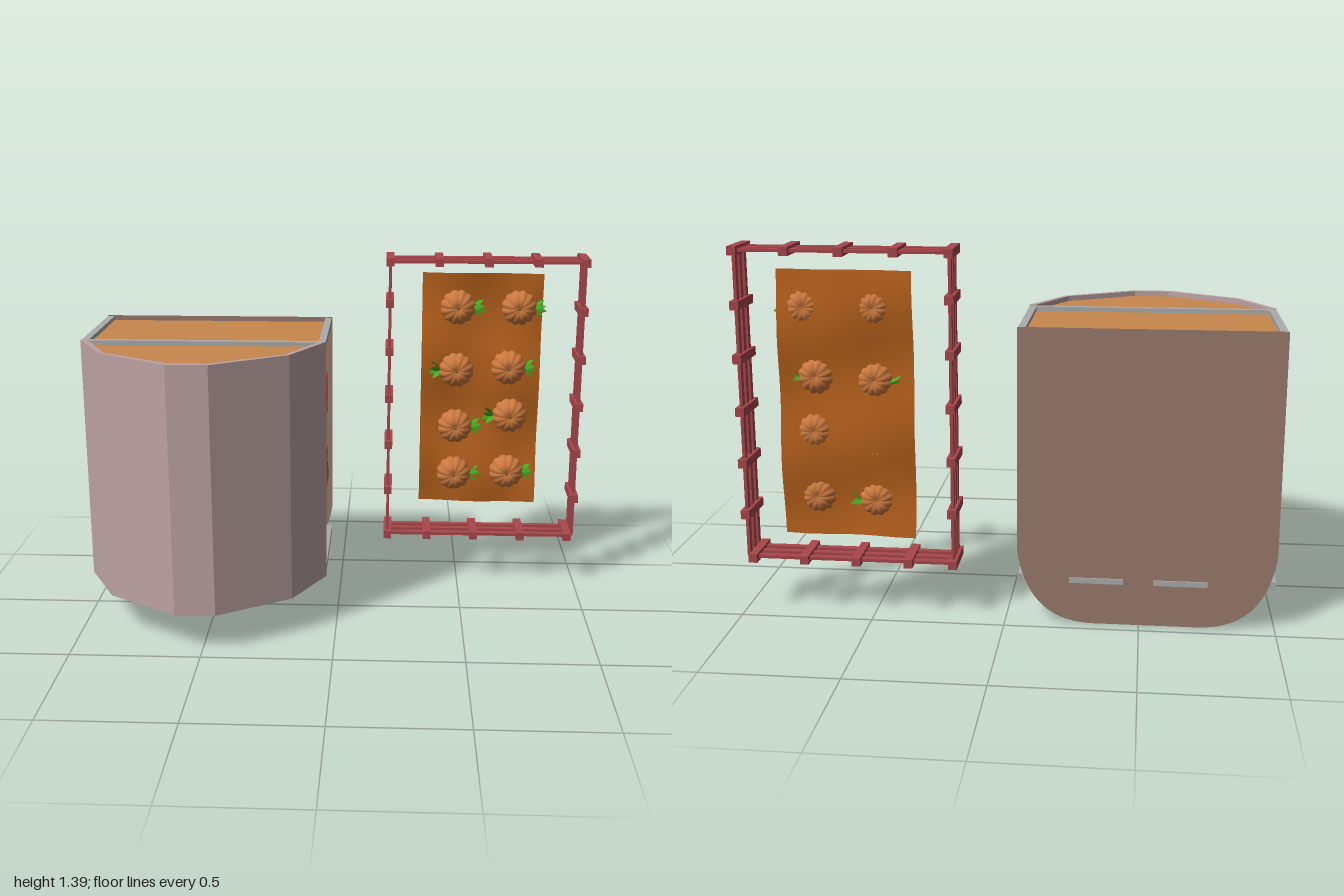
import * as THREE from 'three';

const mat = (color, extra = {}) => new THREE.MeshStandardMaterial({ color, ...extra });
const M = {
  wall: mat(0xc8884c), roof: mat(0xbda2a2), yard: mat(0x997a6c, { side: THREE.DoubleSide }),
  beam: mat(0xacacac), dark: mat(0x55504c), door: mat(0xc9aaa6),
  red: mat(0xa9474b), glass: mat(0x224a7c),
  soil: mat(0xb8621c, { side: THREE.DoubleSide }), pumpkin: mat(0xcb783e),
  stem: mat(0x5c6a28), leaf: mat(0x40b020, { side: THREE.DoubleSide }),
};

function add(parent, name, geometry, material) {
  const mesh = new THREE.Mesh(geometry, material);
  mesh.name = name;
  parent.add(mesh);
  return mesh;
}

// Box given by its extents on each axis
function box(parent, name, material, x0, x1, y0, y1, z0, z1) {
  const m = add(parent, name, new THREE.BoxGeometry(x1 - x0, y1 - y0, z1 - z0), material);
  m.position.set((x0 + x1) / 2, (y0 + y1) / 2, (z0 + z1) / 2);
  return m;
}

// Outline in x and z, extruded along y
function prism(points, y0, y1) {
  const shape = new THREE.Shape(points.map(([x, z]) => new THREE.Vector2(x, z)));
  const g = new THREE.ExtrudeGeometry(shape, { depth: y1 - y0, bevelEnabled: false });
  return g.rotateX(Math.PI / 2).translate(0, y1, 0);
}

// Four-sided frame in the x-z plane
function frameXZ(parent, name, material, x0, x1, z0, z1, y0, y1, t) {
  const g = new THREE.Group();
  g.name = name;
  box(g, 'leftBar', material, x1 - t, x1, y0, y1, z0, z1);
  box(g, 'rightBar', material, x0, x0 + t, y0, y1, z0, z1);
  box(g, 'topBar', material, x0, x1, y0, y1, z1 - t, z1);
  box(g, 'bottomBar', material, x0, x1, y0, y1, z0, z0 + t);
  parent.add(g);
}

function createHouse() {
  const house = new THREE.Group();
  house.name = 'barnHouse';
  const cx = -0.522;
  const outer = [[-1, 0.045], [-0.875, 0.28], [-0.6, 0.455], [-0.445, 0.455], [-0.168, 0.28], [-0.045, 0.045]];
  const inner = [[-0.973, 0.045], [-0.86, 0.268], [-0.592, 0.432], [-0.452, 0.432], [-0.183, 0.268], [-0.072, 0.045]];

  // Gambrel roof shell and the walls filling it
  add(house, 'roof', prism([...outer, ...[...inner].reverse()], 0.15, 1.12), M.roof);
  add(house, 'walls', prism([[-0.973, -0.446], ...inner, [-0.072, -0.446]], 0.18, 1.1), M.wall);

  // Corner posts and eave beams on both gable ends
  for (const [y0, y1] of [[0.16, 0.188], [1.09, 1.117]]) {
    box(house, 'cornerPost', M.beam, -0.998, -0.97, y0, y1, -0.447, 0.045);
    box(house, 'cornerPost', M.beam, -0.074, -0.047, y0, y1, -0.447, 0.045);
    box(house, 'eaveBeam', M.beam, -0.97, -0.074, y0, y1, 0.018, 0.044);
  }

  // Ground sheet with rounded corners
  const s = new THREE.Shape();
  s.moveTo(-1, 1.12);
  s.lineTo(-1, 0.28);
  s.bezierCurveTo(-0.97, 0.08, -0.87, 0, -0.71, 0);
  s.lineTo(-0.335, 0);
  s.bezierCurveTo(-0.175, 0, -0.075, 0.08, -0.045, 0.28);
  s.lineTo(-0.045, 1.12);
  add(house, 'yard', new THREE.ShapeGeometry(s, 16).translate(0, 0, -0.448), M.yard);

  // Entrance panel with two framed doorways
  box(house, 'entrancePanel', M.door, -0.77, -0.26, 0.172, 0.185, -0.446, -0.06);
  frameXZ(house, 'entranceFrame', M.beam, -0.78, -0.25, -0.446, -0.045, 0.162, 0.182, 0.022);
  for (const x of [-0.65, -0.34]) {
    box(house, 'doorway', M.dark, x - 0.095, x + 0.095, 0.168, 0.18, -0.446, -0.175);
    frameXZ(house, 'doorFrame', M.beam, x - 0.1, x + 0.1, -0.454, -0.165, 0.16, 0.18, 0.018);
  }

  // Gable window with a cross bar
  box(house, 'gablePane', M.dark, cx - 0.07, cx + 0.07, 0.173, 0.182, 0.135, 0.275);
  frameXZ(house, 'gableFrame', M.beam, cx - 0.08, cx + 0.08, 0.125, 0.285, 0.164, 0.182, 0.018);
  box(house, 'gableBar', M.beam, cx - 0.07, cx + 0.07, 0.167, 0.182, 0.199, 0.211);
  box(house, 'gableBar', M.beam, cx - 0.006, cx + 0.006, 0.167, 0.182, 0.135, 0.275);

  // Side windows, three panes by two
  for (const [y0, y1] of [[0.755, 0.913], [0.445, 0.595]]) {
    const w = new THREE.Group();
    w.name = 'sideWindow';
    const z0 = -0.33, z1 = -0.08, t = 0.013, ym = (y0 + y1) / 2;
    box(w, 'glass', M.glass, -0.075, -0.066, y0, y1, z0, z1);
    for (const y of [y0 + t / 2, ym, y1 - t / 2])
      box(w, 'crossBar', M.red, -0.074, -0.058, y - t / 2, y + t / 2, z0, z1);
    for (let i = 0; i < 4; i++) {
      const z = z0 + t / 2 + (i / 3) * (z1 - z0 - t);
      box(w, 'uprightBar', M.red, -0.074, -0.0575, y0, y1, z - t / 2, z + t / 2);
    }
    house.add(w);
  }
  return house;
}

function createFence() {
  const fence = new THREE.Group();
  fence.name = 'fence';
  const x0 = 0.198, x1 = 0.984, y0 = 0.21, y1 = 1.378, h = 0.0165, step = 0.199;
  const post = (x, y) => box(fence, 'fencePost', M.red, x - h, x + h, y - h, y + h, -0.455, -0.275);
  for (let i = 0; i < 4; i++) post(x0 + i * step, y1);
  for (let i = 0; i < 6; i++) post(x1, y1 - i * step);
  for (let i = 0; i < 4; i++) post(0.963 - i * step, y0);
  for (let i = 0; i < 6; i++) post(x0, y0 + i * 0.2);
  // Three rails on every side
  const t = 0.006;
  for (const z of [-0.311, -0.365, -0.417]) {
    for (const x of [x0, x1]) box(fence, 'sideRail', M.red, x - t, x + t, y0, y1, z - 0.013, z + 0.013);
    for (const y of [y0, y1]) box(fence, 'endRail', M.red, x0, x1, y - t, y + t, z - 0.013, z + 0.013);
  }
  return fence;
}

// Flattened sphere with pinched ribs and dimpled poles
function pumpkinGeometry() {
  const g = new THREE.SphereGeometry(1, 48, 16).rotateX(Math.PI / 2);
  const p = g.attributes.position;
  for (let i = 0; i < p.count; i++) {
    const x = p.getX(i), y = p.getY(i), z = p.getZ(i);
    const r = Math.hypot(x, y);
    const rib = 0.9 + 0.1 * Math.abs(Math.sin(Math.atan2(y, x) * 6));
    const dip = 1 - 0.25 * Math.exp(-r * r * 14);
    p.setXYZ(i, x * rib * 0.074, y * rib * 0.074, z * (0.6 + 0.4 * rib) * dip * 0.054);
  }
  g.computeVertexNormals();
  return g;
}

// Pointed leaf growing along +y
function leafGeometry() {
  const s = new THREE.Shape();
  s.moveTo(0, 0);
  s.quadraticCurveTo(0.022, 0.025, 0, 0.06);
  s.quadraticCurveTo(-0.022, 0.025, 0, 0);
  return new THREE.ShapeGeometry(s, 5);
}

function createPatch() {
  const patch = new THREE.Group();
  patch.name = 'pumpkinPatch';
  // Rippled soil sheet
  const wave = (x, y) => -0.437 + 0.01 * Math.sin(y * 13 + x * 4) + 0.007 * Math.sin(x * 17 - y * 5);
  const soil = new THREE.PlaneGeometry(0.5, 1, 12, 24).translate(0.583, 0.813, 0);
  const p = soil.attributes.position;
  for (let i = 0; i < p.count; i++) p.setZ(i, wave(p.getX(i), p.getY(i)));
  soil.computeVertexNormals();
  add(patch, 'soil', soil, M.soil);

  // x, y and the side the leaves grow on
  const spots = [
    [0.48, 1.175, 1], [0.733, 1.175, 1], [0.48, 0.908, -1], [0.698, 0.92, 1],
    [0.48, 0.663, 1], [0.71, 0.712, -1], [0.48, 0.453, 1], [0.705, 0.463, 1],
  ];
  const body = pumpkinGeometry(), leaf = leafGeometry();
  const stem = new THREE.CylinderGeometry(0.004, 0.008, 0.022, 6).rotateX(Math.PI / 2);
  for (const [x, y, side] of spots) {
    const plant = new THREE.Group();
    plant.name = 'pumpkinPlant';
    plant.position.set(x, y, -0.403);
    add(plant, 'pumpkin', body, M.pumpkin);
    add(plant, 'stem', stem, M.stem).position.z = 0.044;
    for (let i = 0; i < 4; i++) {
      const l = add(plant, 'leaf', leaf, M.leaf);
      l.position.set(side * 0.06, -0.005, -0.028);
      l.rotation.order = 'ZXY';
      l.rotation.set(0.25 + 0.3 * (i % 2), 0.5 * (i - 1.5), -side * (0.9 + i * 0.45));
    }
    patch.add(plant);
  }
  return patch;
}

export function createModel() {
  const model = new THREE.Group();
  model.name = 'barnAndPumpkinPatch';
  model.add(createHouse(), createFence(), createPatch());
  return model;
}
